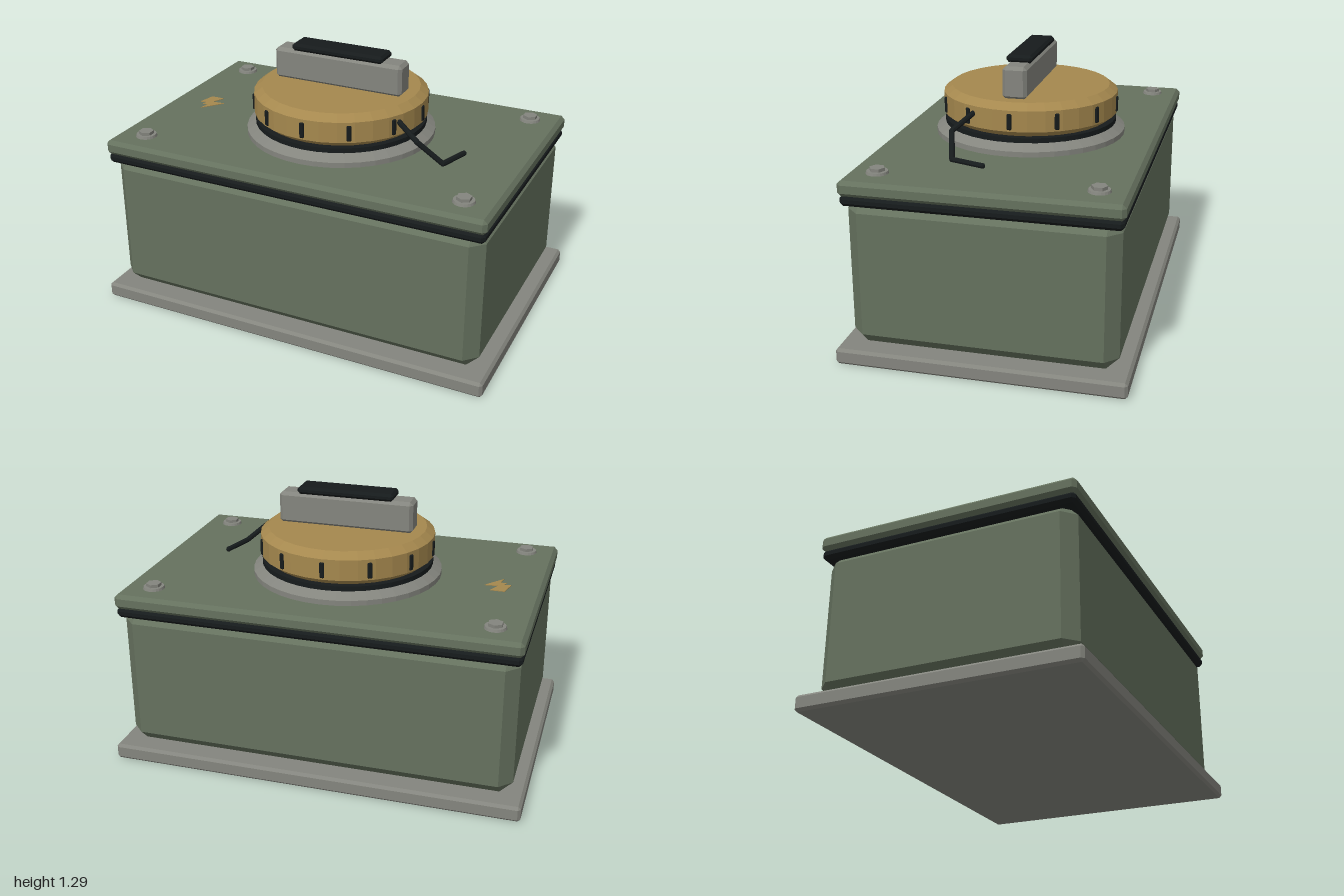
import * as THREE from 'three';
import { ConvexGeometry } from 'three/addons/geometries/ConvexGeometry.js';

const material = (color) => new THREE.MeshStandardMaterial({ color, flatShading: true });

// Box with every edge chamfered by c, standing between y0 and y1
function chamferBox(hx, hz, y0, y1, c) {
  const half = [hx, (y1 - y0) / 2, hz];
  const points = [];
  for (const sx of [-1, 1]) for (const sy of [-1, 1]) for (const sz of [-1, 1]) {
    for (let axis = 0; axis < 3; axis++) {
      const [x, y, z] = half.map((h, i) => (i === axis ? h : h - c));
      points.push(new THREE.Vector3(sx * x, sy * y, sz * z));
    }
  }
  return new ConvexGeometry(points).translate(0, (y0 + y1) / 2, 0);
}

const lathe = (profile, sides = 32) =>
  new THREE.LatheGeometry(profile.map(([r, y]) => new THREE.Vector2(r, y)), sides);

export function createModel() {
  const model = new THREE.Group();
  model.name = 'casing';
  const green = material(0x65715e);
  const grey = material(0x84857e);
  const brass = material(0xa5884e);
  const rubber = material(0x161b1c);

  function add(name, geometry, mat, parent = model) {
    const mesh = new THREE.Mesh(geometry, mat);
    mesh.name = name;
    parent.add(mesh);
    return mesh;
  }

  // Box: base plate, body, gasket and lid
  add('basePlate', chamferBox(1, 0.665, 0, 0.077, 0.013), grey);
  add('body', chamferBox(0.945, 0.61, 0.077, 0.78, 0.06), green);
  add('gasket', chamferBox(0.957, 0.624, 0.75, 0.8, 0.016), rubber);
  add('lid', chamferBox(0.963, 0.631, 0.795, 0.868, 0.018), green);

  // Collar, seal and screw cap
  add('collar', lathe([[0, 0.86], [0.463, 0.86], [0.463, 0.893], [0.415, 0.926], [0, 0.926]], 40), grey);
  add('seal', lathe([[0, 0.92], [0.42, 0.92], [0.42, 0.946], [0, 0.946]], 40), rubber);
  add('cap', lathe([[0, 0.944], [0.385, 0.944], [0.425, 0.975], [0.425, 1.075], [0.385, 1.105], [0, 1.105]]), brass);

  // Grip ribs around the cap
  const ribs = new THREE.Group();
  ribs.name = 'capRibs';
  model.add(ribs);
  for (let i = 0; i < 12; i++) {
    const a = (i * Math.PI) / 6;
    const rib = add('capRib', chamferBox(0.011, 0.011, -0.038, 0.038, 0.004), rubber, ribs);
    rib.position.set(Math.sin(a) * 0.421, 1.022, Math.cos(a) * 0.421);
    rib.rotation.y = a;
  }

  // Handle with rubber grip
  add('handle', chamferBox(0.333, 0.058, 1.1, 1.256, 0.016), grey);
  add('handleGrip', chamferBox(0.238, 0.063, 1.253, 1.29, 0.012), rubber);

  // Corner bolts
  for (const x of [-0.815, 0.815]) for (const z of [-0.494, 0.494]) {
    const bolt = new THREE.Group();
    bolt.name = 'bolt';
    bolt.position.set(x, 0.868, z);
    model.add(bolt);
    add('washer', new THREE.CylinderGeometry(0.048, 0.052, 0.014, 20).translate(0, 0.005, 0), grey, bolt);
    add('hexHead', new THREE.CylinderGeometry(0.036, 0.036, 0.026, 6).translate(0, 0.014, 0), grey, bolt);
  }

  // Bent wire from the cap down to the lid
  const wire = new THREE.Group();
  wire.name = 'wire';
  model.add(wire);
  const path = [[0.375, 1.042, 0.18], [0.5, 0.985, 0.25], [0.614, 0.887, 0.215], [0.66, 0.884, 0.06]]
    .map((p) => new THREE.Vector3(...p));
  for (let i = 0; i < path.length - 1; i++) {
    add('wireSegment', new THREE.TubeGeometry(new THREE.LineCurve3(path[i], path[i + 1]), 1, 0.013, 8), rubber, wire);
  }
  path.forEach((p) => add('wireJoint', new THREE.SphereGeometry(0.013, 8, 6), rubber, wire).position.copy(p));

  // Lightning bolt sign lying on the lid
  const bolt = new THREE.Shape([[-0.79, 0.075], [-0.72, 0.075], [-0.75, 0.012], [-0.685, 0.018],
    [-0.765, -0.083], [-0.755, -0.03], [-0.785, -0.03], [-0.775, -0.005], [-0.81, -0.01]]
    .map(([x, y]) => new THREE.Vector2(x, y)));
  const sign = add('hazardSign', new THREE.ExtrudeGeometry(bolt, { depth: 0.004, bevelEnabled: false }), brass);
  sign.rotation.x = -Math.PI / 2;
  sign.position.y = 0.867;

  return model;
}
